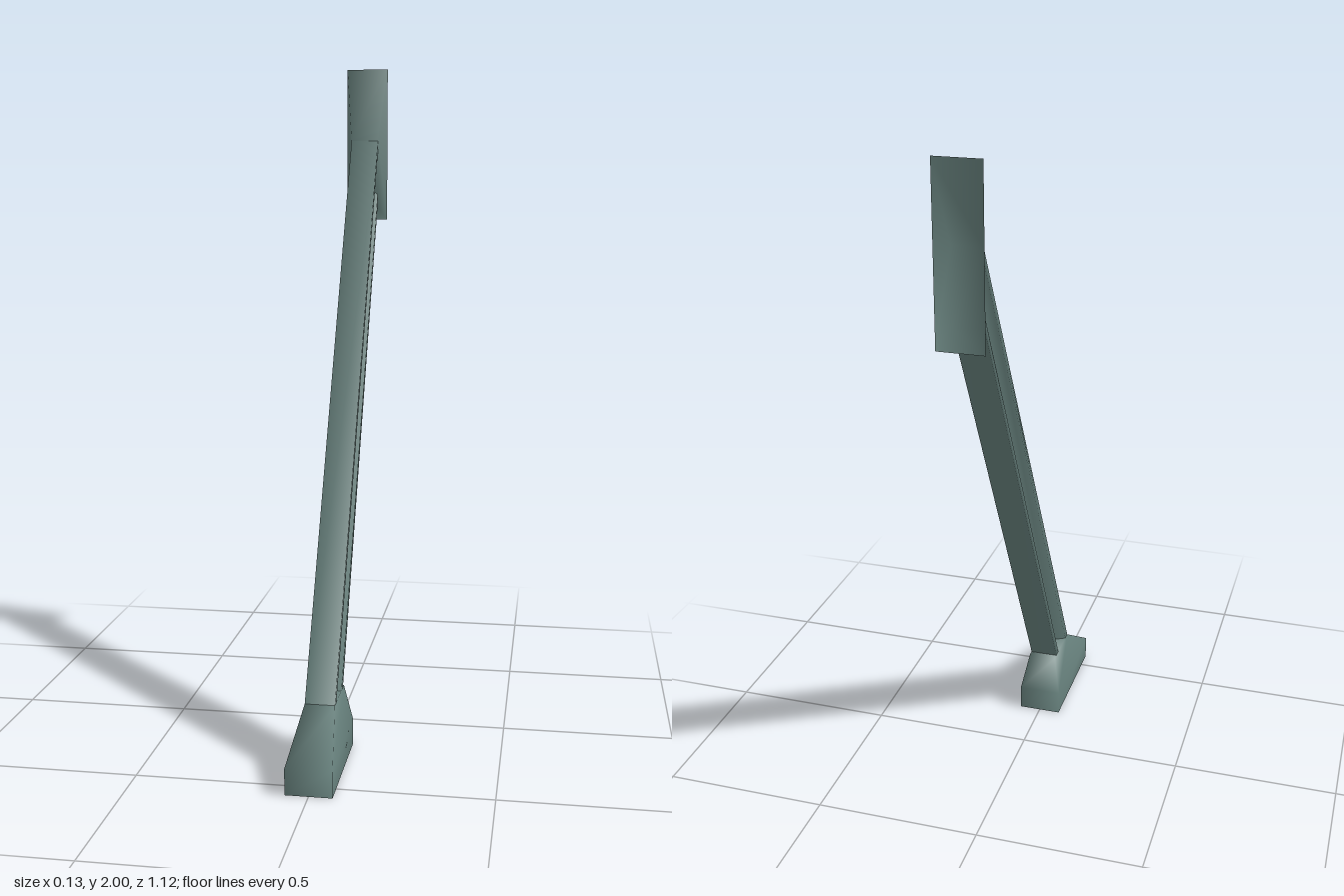
import * as THREE from 'three';

// Skin a surface through closed rings of [x, y, z]; optionally cap the last ring.
// Rings run counter-clockwise about the direction of travel.
function loft(rings, capEnd) {
  const n = rings[0].length;
  const index = [];
  for (let r = 0; r < rings.length - 1; r++) {
    for (let i = 0; i < n; i++) {
      const j = (i + 1) % n;
      const a = r * n + i, b = r * n + j, c = b + n, d = a + n;
      index.push(a, b, c, a, c, d);
    }
  }
  if (capEnd) {
    const s = (rings.length - 1) * n;
    for (let i = 1; i < n - 1; i++) index.push(s, s + i, s + i + 1);
  }
  const g = new THREE.BufferGeometry();
  g.setAttribute('position', new THREE.Float32BufferAttribute(rings.flat(2), 3));
  g.setIndex(index);
  g.computeVertexNormals();
  return g;
}

// Horizontal rectangle for the foot, upright rectangle for the wall pad
const flatRect = (w, y, zFront, zBack) =>
  [[w, y, zFront], [w, y, zBack], [-w, y, zBack], [-w, y, zFront]];
const uprightRect = (w, z, yLow, yHigh) =>
  [[w, yLow, z], [w, yHigh, z], [-w, yHigh, z], [-w, yLow, z]];

// I-shaped section stretched between the front and back edge of a cut
const halfProfile = [[0.043, 0], [0.043, 0.18], [0.013, 0.3], [0.013, 0.7], [0.043, 0.82], [0.043, 1]];
const profile = [...halfProfile, ...halfProfile.map(([x, t]) => [-x, t]).reverse()];
const beamRing = (front, back) => profile.map(([x, t]) => [
  x,
  THREE.MathUtils.lerp(front[0], back[0], t),
  THREE.MathUtils.lerp(front[1], back[1], t),
]);

export function createModel() {
  const group = new THREE.Group();
  group.name = 'leaningBrace';
  const steel = new THREE.MeshStandardMaterial({ color: 0x647d79, side: THREE.DoubleSide });
  steel.name = 'greyGreenSteel';

  const add = (name, geometry) => {
    const mesh = new THREE.Mesh(geometry, steel);
    mesh.name = name;
    group.add(mesh);
  };

  // Tapered foot, hollow underneath
  add('foot', loft([
    flatRect(0.066, 0, 0.56, 0.185),
    flatRect(0.066, 0.075, 0.56, 0.185),
    flatRect(0.043, 0.19, 0.378, 0.215),
  ], true));

  // Leaning I-beam, cut level at the foot and upright at the wall; [y, z] edges
  add('beam', loft([
    beamRing([0.19, 0.378], [0.19, 0.235]),
    beamRing([1.77, -0.492], [1.56, -0.492]),
  ], false));

  // Flared wall pad, hollow behind
  add('wallPad', loft([
    uprightRect(0.066, -0.557, 1.515, 2),
    uprightRect(0.043, -0.492, 1.56, 1.77),
  ], true));

  return group;
}
